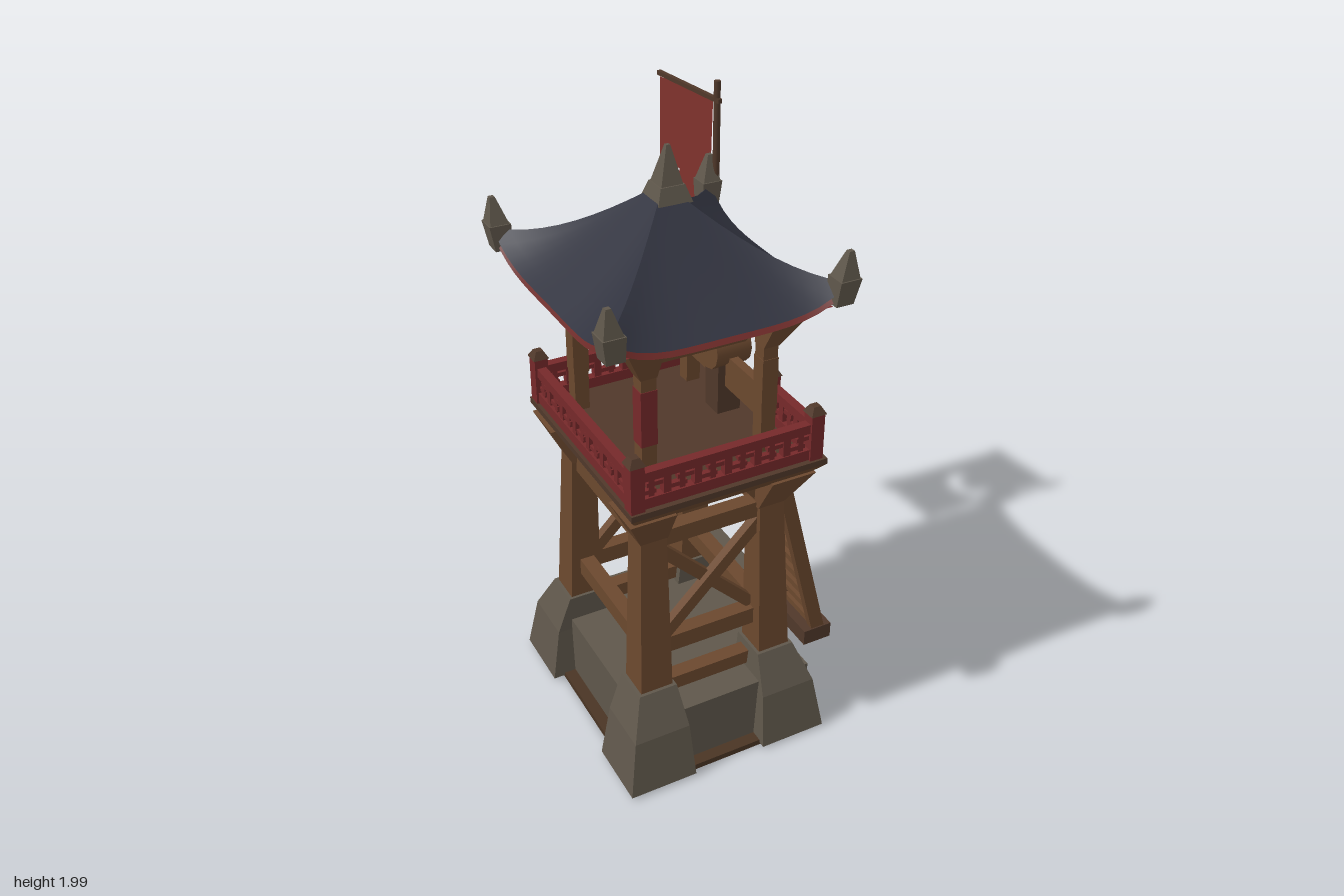
import * as THREE from 'three';

const mat = (name, color, side = THREE.FrontSide) => {
  const m = new THREE.MeshStandardMaterial({ color, side });
  m.name = name;
  return m;
};

export function createModel() {
  const wood = mat('wood', 0x6b482e);
  const darkWood = mat('dark wood', 0x50382a);
  const stone = mat('stone', 0x5f574b);
  const slate = mat('slate', 0x31333f, THREE.DoubleSide);
  const red = mat('red paint', 0x76292a);
  const cloth = mat('red cloth', 0x80322c, THREE.DoubleSide);
  const soil = mat('underside', 0x4a3524);

  const root = new THREE.Group();
  const CX = -0.105, CZ = 0.14; // axis of the tower

  const add = (name, geo, material, parent = root) => {
    const m = new THREE.Mesh(geo, material);
    m.name = name;
    parent.add(m);
    return m;
  };
  const group = (name) => {
    const g = new THREE.Group();
    g.name = name;
    root.add(g);
    return g;
  };
  // Block between a bottom and a top rectangle, each [x0, x1, z0, z1]
  const frustum = (name, y0, y1, b, t, material, parent) => {
    const geo = new THREE.BoxGeometry(1, 1, 1), p = geo.attributes.position;
    for (let i = 0; i < p.count; i++) {
      const up = p.getY(i) > 0, r = up ? t : b;
      p.setXYZ(i, p.getX(i) < 0 ? r[0] : r[1], up ? y1 : y0, p.getZ(i) < 0 ? r[2] : r[3]);
    }
    geo.computeVertexNormals();
    return add(name, geo, material, parent);
  };
  const box = (name, x0, x1, y0, y1, z0, z1, material, parent) =>
    frustum(name, y0, y1, [x0, x1, z0, z1], [x0, x1, z0, z1], material, parent);
  const rect = (x, z, w, d = w) => [x - w, x + w, z - d, z + d];
  // Square timber from a to b
  const beam = (name, a, b, w, d, material, parent) => {
    const A = new THREE.Vector3(...a), B = new THREE.Vector3(...b);
    const m = add(name, new THREE.BoxGeometry(w, d, A.distanceTo(B)), material, parent);
    m.position.copy(A).add(B).multiplyScalar(0.5);
    m.lookAt(B);
    return m;
  };

  // Stone base with four stepped pedestals and a rear block
  const base = group('stoneBase');
  box('baseWall', -0.38, 0.22, 0.02, 0.24, -0.22, 0.5, stone, base);
  box('baseUnderside', -0.42, 0.26, 0.0, 0.02, -0.28, 0.54, soil, base);
  frustum('rearBlock', 0.01, 0.24, [0.03, 0.36, -0.37, -0.03], [0.05, 0.33, -0.34, -0.03], stone, base);
  for (const sx of [-1, 1]) for (const sz of [-1, 1]) {
    const x = CX + sx * 0.24, z = CZ + sz * 0.31;
    const lx = CX + sx * 0.213, lz = CZ + sz * 0.268;
    frustum('pedestalFoot', 0.01, 0.2, rect(x, z, 0.115), rect(x - sx * 0.01, z - sz * 0.01, 0.095), stone, base);
    frustum('pedestalCap', 0.2, 0.33, rect(x - sx * 0.01, z - sz * 0.01, 0.095), rect(lx, lz, 0.065), stone, base);
  }

  // Legs, brackets, upper posts and roof brackets
  const frame = group('timberFrame');
  for (const sx of [-1, 1]) for (const sz of [-1, 1]) {
    const x = CX + sx * 0.2, z = CZ + sz * 0.245;
    frustum('leg', 0.32, 1.0, rect(CX + sx * 0.213, CZ + sz * 0.268, 0.055), rect(x, z, 0.04), wood, frame);
    frustum('legBracket', 0.88, 1.01, rect(x, z, 0.045), rect(x + sx * 0.035, z + sz * 0.04, 0.075), wood, frame);
    beam('deckStrut', [x, 0.88, z], [x - sx * 0.1, 1.0, z], 0.04, 0.04, wood, frame);
    beam('deckStrut', [x, 0.88, z], [x, 1.0, z - sz * 0.1], 0.04, 0.04, wood, frame);
    const px = CX + sx * 0.197, pz = CZ + sz * 0.235;
    box('upperPost', px - 0.024, px + 0.024, 1.05, 1.56, pz - 0.024, pz + 0.024, wood, frame);
    box('postSleeve', px - 0.026, px + 0.026, 1.2, 1.38, pz - 0.026, pz + 0.026, sx === sz ? wood : red, frame);
    frustum('roofBracket', 1.42, 1.56, rect(px, pz, 0.026), rect(px + sx * 0.04, pz + sz * 0.04, 0.06), wood, frame);
  }

  // Cross beams on all sides, crossed braces front and back
  for (const s of [-1, 1]) {
    const z = CZ + s * 0.252, x = CX + s * 0.205;
    for (const [y, w] of [[0.28, 0.05], [0.45, 0.06], [0.87, 0.055]]) {
      beam('crossBeam', [CX - 0.21, y, z], [CX + 0.21, y, z], 0.05, w, wood, frame);
      if (y > 0.3) beam('sideBeam', [x, y, CZ - 0.25], [x, y, CZ + 0.25], 0.05, w, wood, frame);
    }
    for (const d of [-1, 1])
      beam('crossBrace', [CX - d * 0.18, 0.47, z + d * 0.01], [CX + d * 0.18, 0.83, z + d * 0.01], 0.03, 0.04, wood, frame);
  }

  // Deck
  frustum('deckEdge', 1.0, 1.045, [-0.39, 0.19, -0.19, 0.48], [-0.42, 0.23, -0.22, 0.52], wood);
  box('deckFloor', -0.42, 0.23, 1.045, 1.065, -0.22, 0.52, darkWood);

  // Railing: posts, two rails and a fretwork of squares; a run goes from a to b
  const railing = group('railing');
  const run = (ax, az, bx, bz) => {
    const len = Math.hypot(bx - ax, bz - az), n = Math.max(2, Math.round(len / 0.1));
    const at = (t, y) => [ax + (bx - ax) * t, y, az + (bz - az) * t];
    for (const [y, h] of [[1.085, 0.035], [1.175, 0.03]]) beam('rail', at(0, y), at(1, y), 0.03, h, red, railing);
    for (let i = 0; i <= n; i++) {
      beam('baluster', at(i / n, 1.08), at(i / n, 1.18), 0.024, 0.024, red, railing);
      if (i === n) break;
      for (const y of [1.118, 1.142])
        beam('fret', at((i + (y < 1.13 ? 0 : 0.35)) / n, y), at((i + (y < 1.13 ? 0.65 : 1)) / n, y), 0.018, 0.014, red, railing);
      beam('fretBar', at((i + 0.5) / n, 1.1), at((i + 0.5) / n, 1.16), 0.018, 0.018, red, railing);
    }
    for (const t of [0, 1]) {
      const [x, , z] = at(t, 0);
      box('railPost', x - 0.022, x + 0.022, 1.06, 1.22, z - 0.022, z + 0.022, red, railing);
      frustum('railPostCap', 1.22, 1.245, rect(x, z, 0.026), rect(x, z, 0.012), darkWood, railing);
    }
  };
  const L = -0.395, R = 0.195, F = 0.49, B = -0.19;
  run(L, F, R, F);
  run(L, B, R, B);
  run(L, B, L, F);
  run(R, F, R, 0.24);
  run(R, B, R, 0.01);

  // Stored drum and low screen on the deck
  box('lowScreen', 0.085, 0.115, 1.16, 1.27, -0.07, 0.34, wood);
  const drum = add('drum', new THREE.CylinderGeometry(0.07, 0.07, 0.12, 12), wood);
  drum.rotation.z = Math.PI / 2;
  drum.position.set(0.1, 1.29, 0.11);
  box('drumStand', 0.06, 0.14, 1.06, 1.24, 0.07, 0.15, darkWood);

  // Panels and painted eaves under the roof
  frustum('headPanel', 1.42, 1.55, rect(CX, CZ, 0.15, 0.195), rect(CX, CZ, 0.21, 0.25), wood);
  frustum('paintedEave', 1.53, 1.57, rect(CX - 0.01, CZ, 0.24, 0.27), rect(CX - 0.015, CZ, 0.34, 0.37), red);

  // Concave roof with lifted corners, one sheet per side; v runs from peak to eave
  const roof = group('roof'), RX = -0.12, HX = 0.37, HZ = 0.4;
  const roofSheet = (side, drop, peak) => {
    const geo = new THREE.PlaneGeometry(2, 1, 16, 10), p = geo.attributes.position;
    for (let i = 0; i < p.count; i++) {
      const u = p.getX(i), t = 0.5 - p.getY(i);
      const y = peak - drop - 0.36 * t + 0.06 * t * t + 0.08 * t ** 3 * u ** 4;
      const sag = 1 - 0.03 * t * (1 - u * u);
      let [x, z] = [u * t, t * sag];
      for (let k = 0; k < side; k++) [x, z] = [z, -x];
      p.setXYZ(i, RX + x * HX, y, CZ + z * HZ);
    }
    geo.computeVertexNormals();
    return geo;
  };
  const soffit = mat('eave underside red', 0x6a2826, THREE.DoubleSide);
  for (let s = 0; s < 4; s++) {
    add('roofSlope', roofSheet(s, 0, 1.87), slate, roof);
    add('roofSoffit', roofSheet(s, 0.02, 1.87), soffit, roof);
  }
  // Stone corner horns and finial
  for (const sx of [-1, 1]) for (const sz of [-1, 1]) {
    const x = RX + sx * 0.35, z = CZ + sz * 0.385;
    frustum('cornerBlock', 1.59, 1.67, rect(x, z, 0.028), rect(x + sx * 0.008, z + sz * 0.008, 0.034), stone, roof);
    frustum('cornerHorn', 1.67, 1.75, rect(x + sx * 0.008, z + sz * 0.008, 0.03), rect(x + sx * 0.015, z + sz * 0.015, 0.008), stone, roof);
  }
  frustum('finialBase', 1.82, 1.87, rect(-0.11, CZ, 0.055), rect(-0.11, CZ, 0.038), stone, roof);
  frustum('finialSpike', 1.87, 1.98, rect(-0.11, CZ, 0.034), rect(-0.108, CZ, 0.006), stone, roof);

  // Leaning ladder with foot block and hand rails
  const ladder = group('ladder');
  for (const z of [0.19, 0.0]) {
    beam('ladderRail', [0.215, 1.04, z], [0.465, 0.05, z], 0.03, 0.05, wood, ladder);
    beam('handRail', [0.215, 1.0, z], [0.2, 1.25, z], 0.02, 0.02, darkWood, ladder);
  }
  for (let i = 0; i < 14; i++) {
    const t = (i + 0.7) / 14, x = 0.465 - 0.25 * t, y = 0.05 + 0.99 * t;
    beam('rung', [x, y, 0], [x, y, 0.19], 0.04, 0.022, wood, ladder);
  }
  box('ladderFoot', 0.4, 0.51, 0.02, 0.08, -0.04, 0.21, darkWood, ladder);

  // Banner on a pole, with torn lower edge and a crescent cut-out
  const banner = group('banner');
  const pole = add('pole', new THREE.CylinderGeometry(0.011, 0.014, 1.01, 8), darkWood, banner);
  pole.position.set(0.26, 1.485, -0.24);
  beam('bannerArm', [0.26, 1.93, -0.22], [0.222, 1.93, -0.56], 0.014, 0.014, darkWood, banner);
  beam('poleTie', [0.2, 1.08, -0.2], [0.26, 1.08, -0.24], 0.03, 0.03, darkWood, banner);
  beam('poleTie', [0.2, 1.57, -0.21], [0.26, 1.57, -0.24], 0.03, 0.03, darkWood, banner);
  const edge = [[0, 1.92], [0.29, 1.92], [0.295, 1.4], [0.31, 1.2], [0.27, 1.24], [0.25, 1.21], [0.21, 1.26],
    [0.17, 1.22], [0.13, 1.25], [0.09, 1.21], [0.06, 1.24], [0, 1.2], [0.015, 1.5]];
  const flag = new THREE.Shape(edge.map(([u, v]) => new THREE.Vector2(u, v)));
  const arc = (cx, cy, r, a0, a1) => Array.from({ length: 17 }, (_, i) => {
    const a = THREE.MathUtils.degToRad(a0 + (a1 - a0) * i / 16);
    return new THREE.Vector2(cx + r * Math.cos(a), cy + r * Math.sin(a));
  });
  flag.holes.push(new THREE.Path([...arc(0.13, 1.585, 0.09, 140, 400), ...arc(0.128, 1.61, 0.058, 390, 150)]));
  const bannerCloth = add('bannerCloth', new THREE.ShapeGeometry(flag), cloth, banner);
  bannerCloth.rotation.y = Math.PI / 2 + 0.13;
  bannerCloth.position.set(0.258, 0, -0.262);

  return root;
}
